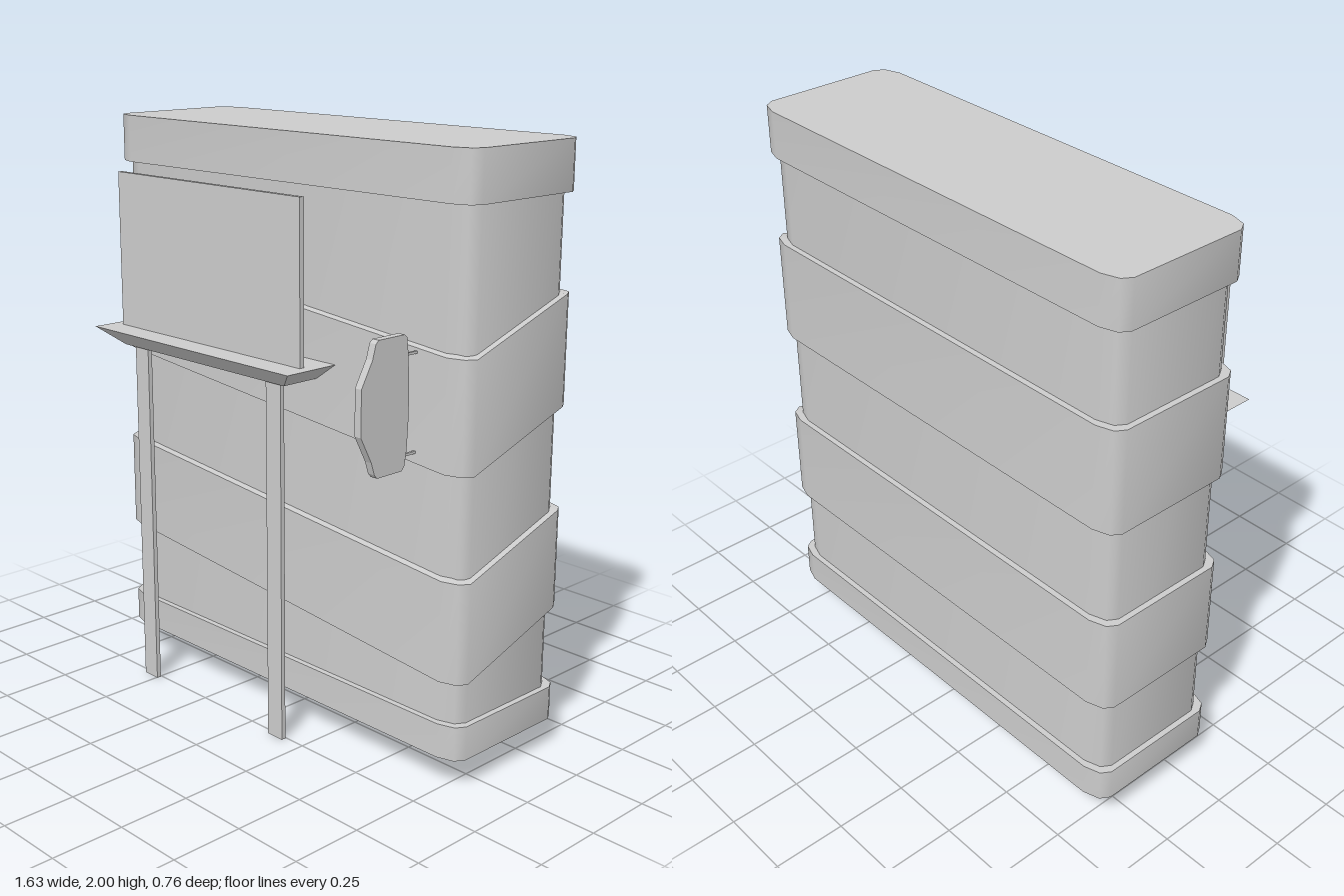
import * as THREE from 'three';
import { toCreasedNormals } from 'three/addons/utils/BufferGeometryUtils.js';

const grey = new THREE.MeshStandardMaterial({ color: 0xcccccc });

// Plan outline with softened corners, counter-clockwise from above.
// The first three points form the front corner on the model's left.
function planOutline(inset) {
  const hx = 0.817 - inset, hz = 0.2575 - inset, cz = -0.1225;
  const cuts = [[0.077, 0], [0.02, 0.018], [0, 0.05]];
  const corners = [[1, 1], [1, -1], [-1, -1], [-1, 1]];
  return corners.flatMap(([sx, sz], k) => {
    const order = k % 2 ? [...cuts].reverse() : cuts;
    return order.map(([dx, dz]) => [sx * (hx - dx), cz + sz * (hz - dz)]);
  });
}

// Closed wall between two heights; drop lowers the front-left corner.
function wrap(name, inset, y0, y1, drop = 0) {
  const ring = planOutline(inset), n = ring.length;
  const pos = [], idx = [];
  for (const y of [y0, y1]) {
    ring.forEach(([x, z], i) => pos.push(x, y - (i < 3 ? drop : 0), z));
  }
  pos.push(0, y0, -0.1225, 0, y1, -0.1225);
  for (let i = 0; i < n; i++) {
    const j = (i + 1) % n;
    idx.push(i, j, n + j, i, n + j, n + i);
    idx.push(2 * n, j, i, 2 * n + 1, n + i, n + j);
  }
  const g = new THREE.BufferGeometry();
  g.setAttribute('position', new THREE.Float32BufferAttribute(pos, 3));
  g.setIndex(idx);
  return named(name, toCreasedNormals(g, 0.75));
}

function named(name, geometry) {
  const m = new THREE.Mesh(geometry, grey);
  m.name = name;
  return m;
}

// Box given by its minimum and maximum corners
function box(name, a, b) {
  const m = named(name, new THREE.BoxGeometry(b[0] - a[0], b[1] - a[1], b[2] - a[2]));
  m.position.set((a[0] + b[0]) / 2, (a[1] + b[1]) / 2, (a[2] + b[2]) / 2);
  return m;
}

// Shelf tapering downwards at both ends and the front, straight at the back
function shelf() {
  const g = new THREE.BoxGeometry(0.98, 0.06, 0.22);
  const p = g.attributes.position;
  for (let i = 0; i < p.count; i++) {
    if (p.getY(i) > 0) continue;
    p.setX(i, p.getX(i) * 0.825);
    if (p.getZ(i) > 0) p.setZ(i, p.getZ(i) - 0.065);
  }
  g.computeVertexNormals();
  const m = named('shelf', g);
  m.position.set(-0.21, 1.26, 0.23);
  return m;
}

// Flat side plate, drawn as (z, y) and given thickness along x
function sidePlate() {
  const outline = [
    [0.2, 1.455], [0.31, 1.455], [0.322, 1.445], [0.335, 1.4], [0.38, 1.32],
    [0.38, 1.175], [0.335, 1.09], [0.322, 1.05], [0.31, 1.037], [0.205, 1.037],
    [0.193, 1.05], [0.184, 1.1], [0.178, 1.2], [0.178, 1.3], [0.184, 1.4], [0.19, 1.445],
  ];
  const shape = new THREE.Shape(outline.map(([z, y]) => new THREE.Vector2(-z, y)));
  const g = new THREE.ExtrudeGeometry(shape, { depth: 0.026, bevelEnabled: false });
  g.rotateY(Math.PI / 2);
  const m = named('sidePlate', g);
  m.position.x = 0.608;
  return m;
}

export function createModel() {
  const model = new THREE.Group();
  model.name = 'kiosk';

  // Main body with end caps and two slanted raised bands
  const body = new THREE.Group();
  body.name = 'body';
  body.add(
    wrap('core', 0.02, 0.15, 1.95),
    wrap('bottomCap', 0, 0.105, 0.22),
    wrap('topCap', 0, 1.84, 2),
    wrap('lowerBand', 0, 0.5, 0.832, 0.137),
    wrap('upperBand', 0, 1.172, 1.53, 0.138),
  );

  // Counter with upright panel and two legs
  const counter = new THREE.Group();
  counter.name = 'counter';
  counter.add(shelf(), box('panel', [-0.66, 1.285, 0.233], [0.24, 1.822, 0.25]));
  for (const x of [-0.565, 0.104]) {
    counter.add(box('leg', [x, 0, 0.254], [x + 0.068, 1.232, 0.27]));
  }

  // Side plate held off the front by two thin brackets
  const sign = new THREE.Group();
  sign.name = 'plateAssembly';
  sign.add(sidePlate());
  for (const y of [1.08, 1.39]) {
    sign.add(box('bracket', [0.617, y - 0.004, 0.11], [0.625, y + 0.004, 0.19]));
  }

  model.add(body, counter, sign);
  return model;
}
